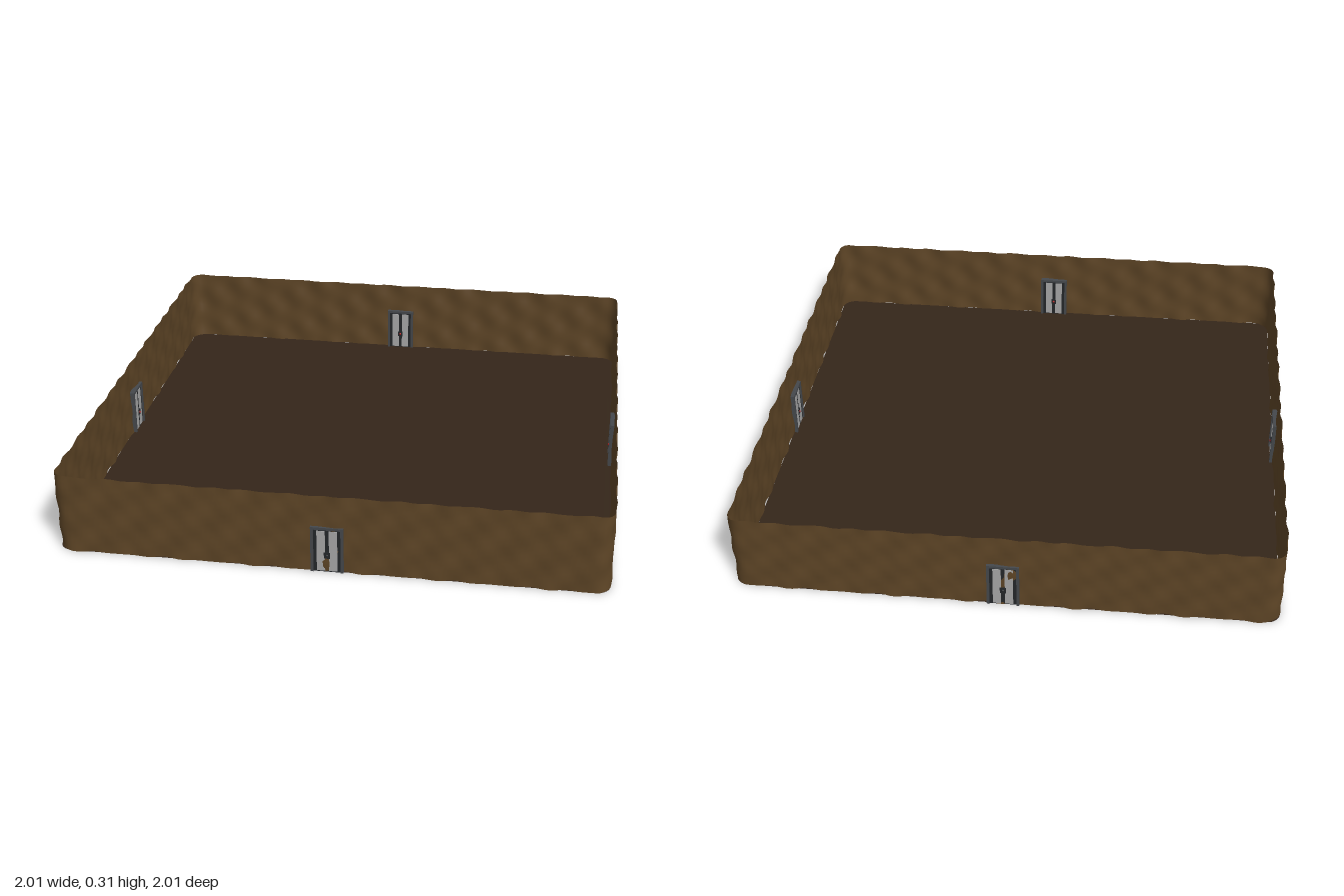
import * as THREE from 'three';

const HEIGHT = 0.305, HALF = 0.994, RADIUS = 0.05;
const mat = (color, extra = {}) => new THREE.MeshStandardMaterial({ color, ...extra });

// Rounded square outline shared by walls and floor
function outline() {
  const s = new THREE.Shape(), h = HALF, c = HALF - RADIUS, q = Math.PI / 2;
  s.moveTo(-c, -h);
  s.lineTo(c, -h);
  s.absarc(c, -c, RADIUS, -q, 0);
  s.lineTo(h, c);
  s.absarc(c, c, RADIUS, 0, q);
  s.lineTo(-c, h);
  s.absarc(-c, c, RADIUS, q, 2 * q);
  s.lineTo(-h, -c);
  s.absarc(-c, -c, RADIUS, 2 * q, 3 * q);
  return s;
}

// Thin continuous wall sheet with gentle lumps pushed along its outward normal
function wallGeometry() {
  const N = 480, ROWS = 14, path = outline(), pos = [], index = [];
  const length = path.getLength();
  for (let j = 0; j <= ROWS; j++) {
    const y = HEIGHT * j / ROWS;
    for (let i = 0; i < N; i++) {
      const u = i / N, a = u * Math.PI * 2;
      const p = path.getPointAt(u), t = path.getTangentAt(u);
      const bump = 0.003 * Math.sin(a * 60 + 9 * y) + 0.0018 * Math.sin(a * 37 + y * 45)
        + 0.0012 * Math.sin(a * 83 - y * 60);
      pos.push(p.x + t.y * bump, y, p.y - t.x * bump);
      if (j < ROWS) {
        const k = (i + 1) % N, b = j * N, d = b + N;
        index.push(b + i, d + i, b + k, b + k, d + i, d + k);
      }
    }
  }
  const g = new THREE.BufferGeometry();
  g.setAttribute('position', new THREE.Float32BufferAttribute(pos, 3));
  g.setIndex(index);
  g.computeVertexNormals();
  return g;
}

const frameMat = mat(0x45484c), darkMat = mat(0x24272a), panelMat = mat(0xa8a8a8), redMat = mat(0xb01818);

function box(parent, name, material, w, h, d, x, y, z = 0) {
  const m = new THREE.Mesh(new THREE.BoxGeometry(w, h, d), material);
  m.name = name;
  m.position.set(x, y, z);
  parent.add(m);
}

// Double door, the same on both faces
function createDoor() {
  const door = new THREE.Group();
  door.name = 'door';
  box(door, 'lintel', frameMat, 0.118, 0.01, 0.022, 0, 0.177);
  box(door, 'doorCore', darkMat, 0.102, 0.172, 0.012, 0, 0.086);
  for (const s of [-1, 1]) {
    box(door, 'jamb', frameMat, 0.01, 0.172, 0.022, s * 0.054, 0.086);
    box(door, 'doorPanel', panelMat, 0.03, 0.162, 0.015, s * 0.022, 0.085);
    // Lock plate and button on each face
    box(door, 'lockPlate', darkMat, 0.022, 0.024, 0.003, 0, 0.068, s * 0.008);
    const knob = new THREE.Mesh(new THREE.SphereGeometry(0.005, 12, 8), s < 0 ? redMat : darkMat);
    knob.name = 'doorKnob';
    knob.position.set(0, 0.068, s * 0.009);
    door.add(knob);
  }
  return door;
}

export function createModel() {
  const room = new THREE.Group();
  room.name = 'room';

  const walls = new THREE.Mesh(wallGeometry(), mat(0x5e4526, { side: THREE.DoubleSide }));
  walls.name = 'walls';
  room.add(walls);

  const floor = new THREE.Mesh(
    new THREE.ShapeGeometry(outline(), 12).rotateX(-Math.PI / 2),
    mat(0x35261a, { side: THREE.DoubleSide })
  );
  floor.name = 'floor';
  floor.position.y = 0.001;
  room.add(floor);

  // One door in the middle of each wall
  for (let i = 0; i < 4; i++) {
    const side = new THREE.Group();
    side.name = 'doorway' + (i + 1);
    const door = createDoor();
    door.position.z = HALF - 0.006;
    // Keep the door faces just proud of the wall sheet
    door.scale.z = 1.1;
    door.position.z = HALF - 0.004;
    side.add(door);
    side.rotation.y = i * Math.PI / 2;
    room.add(side);
  }
  return room;
}
